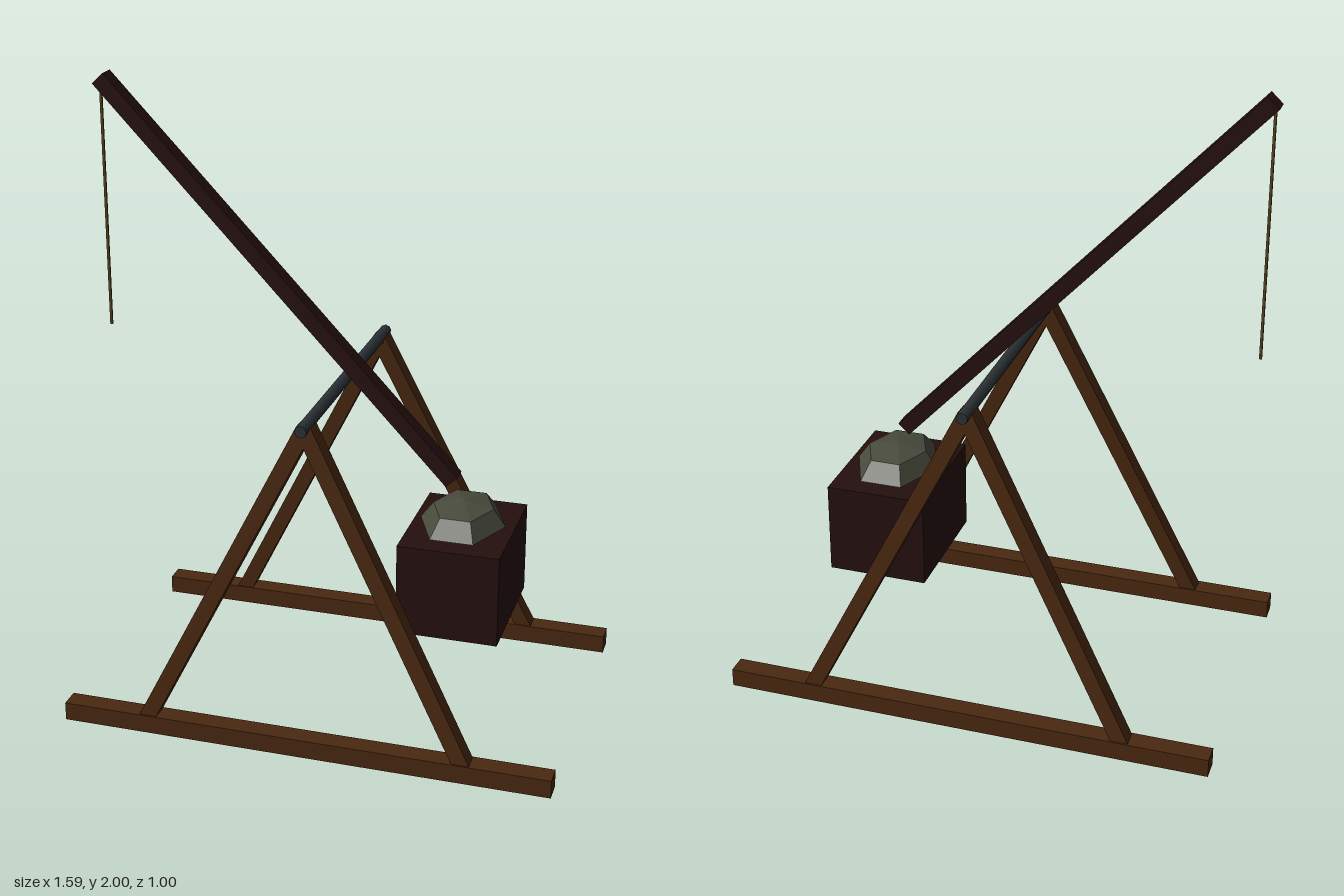
import * as THREE from 'three';

const mat = (name, color) => {
  const m = new THREE.MeshStandardMaterial({ color });
  m.name = name;
  return m;
};

export function createModel() {
  const wood = mat('brown wood', 0x4a2810);
  const darkWood = mat('dark wood', 0x260f0f);
  const iron = mat('iron', 0x2a3135);
  const stone = mat('stone', 0x484a3c);
  const rope = mat('rope', 0x57431f);
  stone.side = THREE.DoubleSide;

  const model = new THREE.Group();
  model.name = 'trebuchet';
  const CX = 0.007; // middle of the frame

  const add = (name, geometry, material, x, y, z) => {
    const mesh = new THREE.Mesh(geometry, material);
    mesh.name = name;
    mesh.position.set(x, y, z);
    model.add(mesh);
    return mesh;
  };

  // Straight beam between two points
  const beam = (name, from, to, width, depth, material) => {
    const a = new THREE.Vector3(...from);
    const b = new THREE.Vector3(...to);
    const dir = b.clone().sub(a);
    const mid = a.clone().add(b).multiplyScalar(0.5);
    const mesh = add(name, new THREE.BoxGeometry(width, dir.length(), depth), material, mid.x, mid.y, mid.z);
    mesh.quaternion.setFromUnitVectors(new THREE.Vector3(0, 1, 0), dir.normalize());
  };

  // Ground rails and A-frame legs on both sides
  for (const side of [1, -1]) {
    const end = side > 0 ? 'front' : 'back';
    add(end + 'Rail', new THREE.BoxGeometry(1.58, 0.06, 0.066), wood, CX, 0.03, side * 0.465);
    for (const dx of [-1, 1]) {
      beam(end + (dx > 0 ? 'LeftLeg' : 'RightLeg'),
        [CX + dx * 0.522, 0.03, side * 0.466], [CX, 1.073, side * 0.409], 0.05, 0.056, wood);
    }
  }

  // Axle across the frame
  const axle = new THREE.CylinderGeometry(0.019, 0.019, 0.93, 8).rotateX(Math.PI / 2);
  add('axle', axle, iron, CX, 1.081, 0);

  // Throwing arm and hanging sling rope
  beam('throwingArm', [-0.778, 1.983, 0], [0.36, 0.778, 0], 0.05, 0.056, darkWood);
  add('slingRope', new THREE.CylinderGeometry(0.005, 0.005, 0.8, 6), rope, -0.78, 1.58, 0);

  // Counterweight box with a faceted mound of stone
  add('counterweightBox', new THREE.BoxGeometry(0.325, 0.3, 0.418), darkWood, 0.395, 0.475, 0);
  const mound = new THREE.SphereGeometry(1, 6, 2, 0, Math.PI * 2, 0, Math.PI / 2)
    .scale(0.138, 0.078, 0.185).toNonIndexed();
  mound.computeVertexNormals();
  add('stoneLoad', mound, stone, 0.394, 0.637, 0);

  return model;
}
